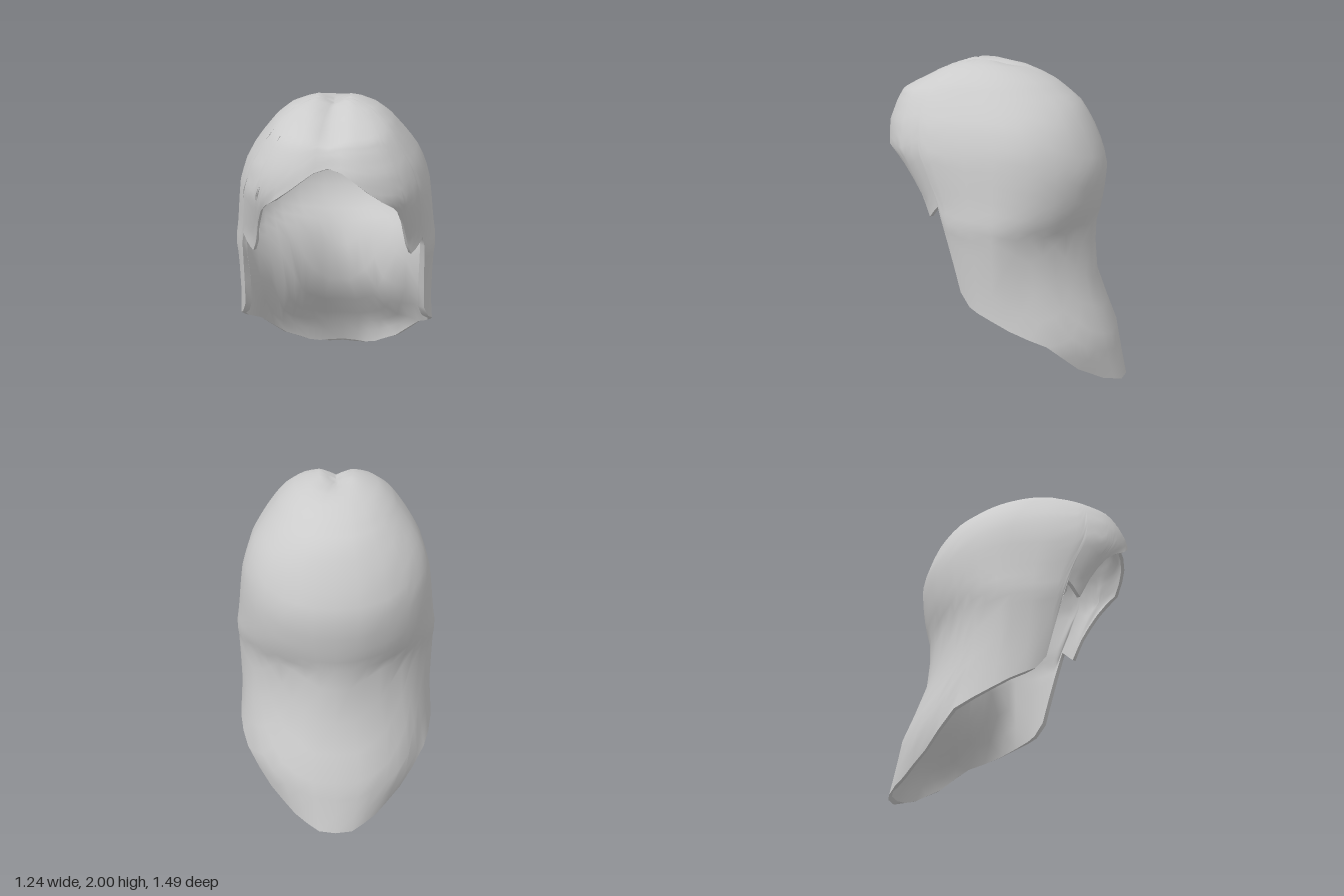
import * as THREE from 'three';

// Horizontal sections from crown to hem: [y, half width, front z, back z]
const SECTIONS = [
  [2.0, 0, 0.18, 0.18], [2.0, 0.1, 0.28, 0.07], [1.95, 0.25, 0.42, -0.12], [1.88, 0.34, 0.56, -0.26],
  [1.82, 0.39, 0.67, -0.34], [1.75, 0.445, 0.71, -0.42], [1.64, 0.52, 0.75, -0.49], [1.5, 0.57, 0.76, -0.55],
  [1.37, 0.588, 0.67, -0.59], [1.2, 0.605, 0.56, -0.575], [1.08, 0.624, 0.52, -0.55], [0.97, 0.612, 0.48, -0.52],
  [0.62, 0.605, 0.37, -0.55], [0.34, 0.64, 0.3, -0.67], [0.17, 0.56, 0.25, -0.705], [0, 0.45, 0.2, -0.745],
];

// Lower edge: [angle from the front in degrees, y]
const HEM = [
  [0, 1.69], [5, 1.67], [11, 1.62], [18, 1.56], [26, 1.5], [33, 1.45], [37, 1.4], [39.5, 1.32], [41, 1.23],
  [42, 1.16], [44, 1.1], [48, 1.12], [53, 1.15], [58, 1.18], [58.8, 1.12], [60, 1.0], [62.2, 0.83], [64.6, 0.67],
  [73, 0.59], [81, 0.56], [90, 0.52], [100, 0.465], [110, 0.41], [119, 0.36], [127, 0.26], [134, 0.17],
  [142, 0.11], [149, 0.06], [158, 0.03], [167, 0], [180, 0],
];
const ROWS = 24;

// Columns all the way round: the left half, then its mirror image
const COLUMNS = [...HEM, ...HEM.slice(1, -1).reverse().map(([a, y]) => [360 - a, y])];

// Position in the section list at which a given height is reached
function sectionAt(y) {
  let i = 1;
  while (i < SECTIONS.length - 2 && SECTIONS[i + 1][0] > y) i++;
  return i + (SECTIONS[i][0] - y) / (SECTIONS[i][0] - SECTIONS[i + 1][0]);
}

function surfacePoint(degrees, s) {
  const i = Math.min(Math.floor(s), SECTIONS.length - 2);
  const [y, width, front, back] = SECTIONS[i].map((v, k) => THREE.MathUtils.lerp(v, SECTIONS[i + 1][k], s - i));
  const a = THREE.MathUtils.degToRad(degrees);
  const sin = Math.sin(a), cos = Math.cos(a);
  // squarer in front, round behind, drawn in at the neck
  const power = cos > 0 ? 0.77 : 1 + 0.3 * Math.exp(-(((y - 0.87) / 0.25) ** 2));
  const centre = 0.18 * THREE.MathUtils.smoothstep(y, 1.5, 2);
  const x = degrees % 180 === 0 ? 0 : width * Math.sign(sin) * Math.abs(sin) ** power;
  const z = centre + (cos > 0 ? front - centre : centre - back) * Math.sign(cos) * Math.abs(cos) ** power;
  // shallow parting groove along the middle of the top and front
  const groove = Math.max(0, 1 - Math.abs(x) / 0.1) * THREE.MathUtils.smoothstep(z, -0.15, 0.1);
  const high = THREE.MathUtils.smoothstep(y, 1.68, 1.9);
  return new THREE.Vector3(x, y - 0.045 * groove * high, z - 0.025 * groove * (1 - high));
}

// Thin at the fringe, fuller at the side edges and thick at the nape below the hollow for the head
function thickness(p, t) {
  const body = 1 - THREE.MathUtils.smoothstep(t, 0.75, 1);
  const sideEdge = Math.exp(-(((p.z - 0.18) / 0.15) ** 2));
  const nape = Math.max(0, Math.min((p.y - 0.05) / 0.7, ((1.3 - p.y) / 0.55) ** 1.5 || 0));
  const behind = THREE.MathUtils.smoothstep(-p.z, 0, 0.42) * (1 - THREE.MathUtils.smoothstep(t, 0.88, 1));
  return 0.022 + 0.023 * Math.max(body, sideEdge) + 0.15 * nape * behind;
}

// Smooth closed band from a list of rings
function band(rings, flip) {
  const n = rings[0].length;
  const index = [];
  for (let j = 0; j < rings.length - 1; j++) {
    for (let i = 0; i < n; i++) {
      const k = (i + 1) % n;
      const a = j * n + i, b = a + n, d = j * n + k, e = d + n;
      if (flip) index.push(a, d, b, b, d, e);
      else index.push(a, b, d, b, e, d);
    }
  }
  const geometry = new THREE.BufferGeometry().setFromPoints(rings.flat());
  geometry.setIndex(index);
  geometry.computeVertexNormals();
  return geometry;
}

export function createModel() {
  const group = new THREE.Group();
  group.name = 'hair';
  const material = new THREE.MeshStandardMaterial({ color: 0xcccccc, side: THREE.DoubleSide });
  const add = (name, geometry) => {
    const mesh = new THREE.Mesh(geometry, material);
    mesh.name = name;
    group.add(mesh);
  };

  // Outer surface, each column running from the crown to the hem
  const outer = [];
  for (let j = 0; j <= ROWS; j++) {
    outer.push(COLUMNS.map(([a, y]) => surfacePoint(a, sectionAt(y) * j / ROWS)));
  }
  const outerGeometry = band(outer, false);
  const normals = outerGeometry.attributes.normal;
  for (let i = 0; i < COLUMNS.length; i++) normals.setXYZ(i, 0, 1, 0); // shared crown point
  add('outerHair', outerGeometry);

  // Inner lining, set in along the normals
  const inner = outer.map((ring, j) => ring.map((p, i) => {
    const normal = new THREE.Vector3().fromBufferAttribute(normals, j * COLUMNS.length + i);
    return p.clone().addScaledVector(normal, -thickness(p, j / ROWS));
  }));
  for (const p of inner[ROWS]) p.y = Math.max(p.y, 0.02);
  add('innerLining', band(inner, true));

  // Rim closing the hem between both surfaces
  add('hemRim', band([outer[ROWS], inner[ROWS]], false));
  return group;
}
